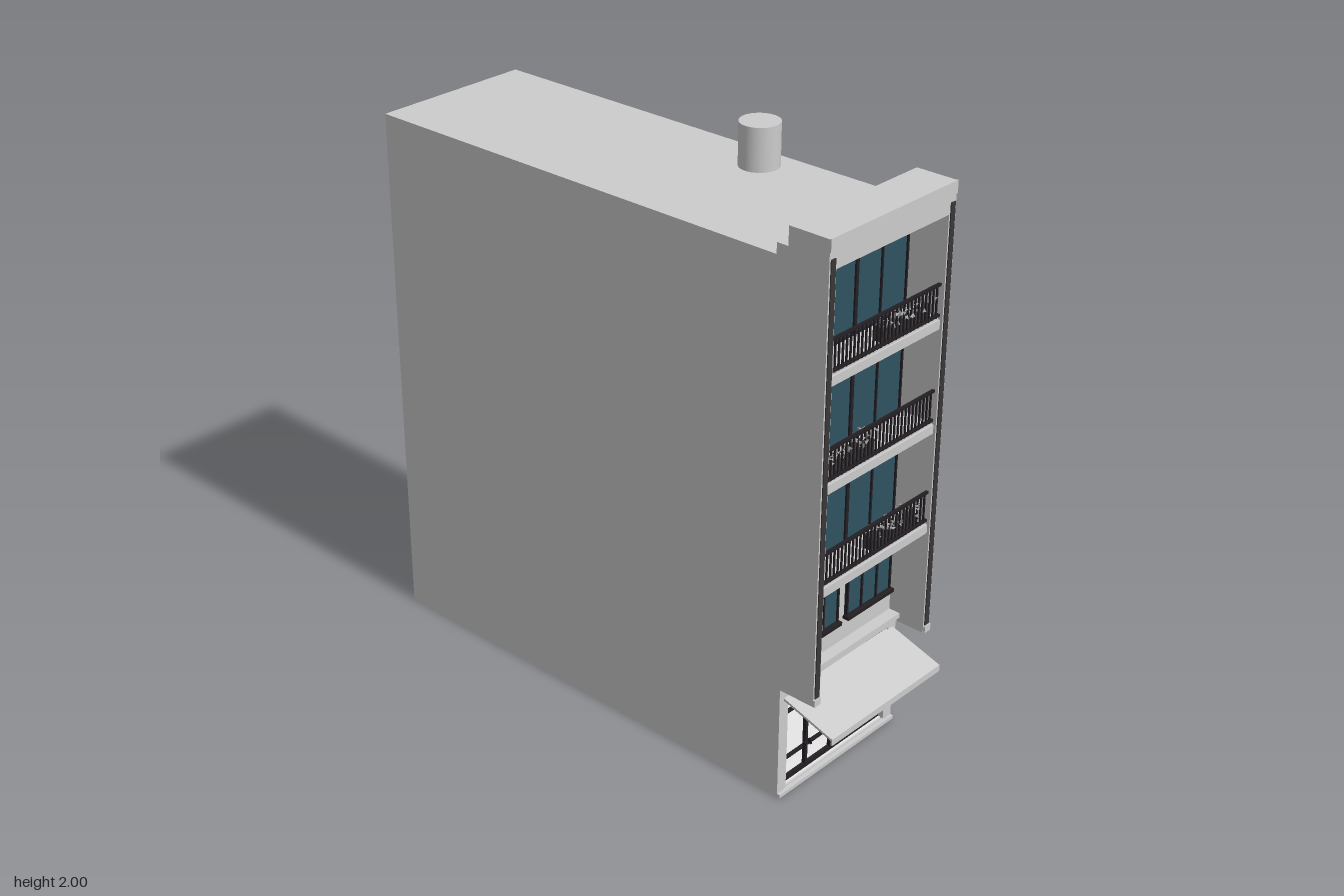
import * as THREE from 'three';

const paint = (name, color) => {
  const m = new THREE.MeshStandardMaterial({ color });
  m.name = name;
  return m;
};

export function createModel() {
  const root = new THREE.Group();
  root.name = 'townhouse';
  const wall = paint('wall grey', 0xcccccc);
  const glass = paint('teal glass', 0x2f5260);
  const dark = paint('dark metal', 0x231f23);
  const strip = paint('charcoal cladding', 0x3a3639);
  const leaf = paint('pale foliage', 0xa4a6a4);
  const pale = paint('pale floor', 0xf0f0f0);

  const add = (name, geo, mat, parent = root) => {
    const m = new THREE.Mesh(geo, mat);
    m.name = name;
    parent.add(m);
    return m;
  };
  // box given by its extents on each axis
  const box = (name, mat, [x0, x1], [y0, y1], [z0, z1], parent = root) => {
    const m = add(name, new THREE.BoxGeometry(x1 - x0, y1 - y0, z1 - z0), mat, parent);
    m.position.set((x0 + x1) / 2, (y0 + y1) / 2, (z0 + z1) / 2);
    return m;
  };
  const group = (name) => {
    const g = new THREE.Group();
    g.name = name;
    root.add(g);
    return g;
  };
  // side profile in x,y extruded between two z values
  const extrude = (name, mat, pts, z0, z1) => {
    const shape = new THREE.Shape(pts.map((p) => new THREE.Vector2(...p)));
    const geo = new THREE.ExtrudeGeometry(shape, { depth: z1 - z0, bevelEnabled: false });
    add(name, geo, mat).position.z = z0;
  };

  // Side walls with projecting upper fins
  const profile = [[-0.91, 0], [0.725, 0], [0.725, 0.39], [0.85, 0.39], [0.85, 1.87],
    [0.71, 1.87], [0.71, 1.81], [0.67, 1.81], [0.67, 1.775], [-0.91, 1.775]];
  extrude('leftSideWall', wall, profile, -0.28, -0.25);
  extrude('rightSideWall', wall, profile, 0.25, 0.28);

  // Core, leaving a room open behind the shopfront
  const inner = [-0.25, 0.25];
  box('rearCore', wall, [-0.91, 0.45], [0, 1.775], inner);
  box('upperCore', wall, [0.45, 0.72], [0.37, 1.775], inner);
  box('shopBase', wall, [0.45, 0.72], [0, 0.015], inner);
  box('shopFloor', pale, [0.45, 0.715], [0.015, 0.018], inner);
  box('entranceStep', wall, [0.72, 0.735], [0, 0.012], [-0.28, 0.28]);

  // Stepped parapet and soffit
  box('parapetStep', wall, [0.67, 0.85], [1.775, 1.81], inner);
  box('parapet', wall, [0.71, 0.85], [1.81, 1.87], inner);
  box('parapetFascia', wall, [0.85, 0.854], [1.832, 1.872], [-0.28, 0.28]);
  box('soffitBeam', wall, [0.72, 0.79], [1.765, 1.775], inner);
  for (const z of [-0.16, 0, 0.16]) {
    box('soffitLamp', dark, [0.8, 0.815], [1.768, 1.775], [z - 0.008, z + 0.008]);
  }

  // Cladding on the front of each fin
  for (const s of [-1, 1]) {
    box('finCladding', strip, [0.85, 0.853], [0.415, 1.81], [s * 0.265 - 0.01, s * 0.265 + 0.01]);
    box('finFoot', wall, [0.85, 0.856], [0.39, 0.413], [s * 0.266 - 0.014, s * 0.266 + 0.014]);
  }

  // Framed glazing on the front wall, split by mullions and rails
  const glazing = (name, y0, y1, z0, z1, mullions, rails) => {
    const g = group(name);
    box('glass', glass, [0.72, 0.726], [y0, y1], [z0, z1], g);
    const x = [0.72, 0.732];
    for (const z of [z0 + 0.003, z1 - 0.003, ...mullions]) {
      box('stile', dark, x, [y0, y1], [z - 0.003, z + 0.003], g);
    }
    for (const y of [y0 + 0.003, y1 - 0.003, ...rails]) {
      box('rail', dark, x, [y - 0.003, y + 0.003], [z0, z1], g);
    }
  };

  // Small seeded generator for the foliage
  let seed = 7;
  const rand = () => (seed = (seed * 16807) % 2147483647) / 2147483647;

  // Three balcony floors: slab, doors, railing, planter
  [[0.778, -1], [1.116, 1], [1.455, -1]].forEach(([y, side]) => {
    glazing('balconyDoors', y, y + 0.28, -0.235, 0.235, [-0.115, -0.003, 0.003, 0.115], []);
    box('balconySlab', wall, [0.72, 0.835], [y - 0.035, y], inner);
    box('slabLip', wall, [0.835, 0.842], [y - 0.035, y - 0.006], inner);
    box('ceilingLamp', dark, [0.77, 0.785], [y + 0.292, y + 0.298], [-0.008, 0.008]);

    const rail = group('balconyRailing');
    for (const h of [0.008, 0.104]) {
      box('handrail', dark, [0.83, 0.84], [y + h - 0.004, y + h + 0.004], inner, rail);
    }
    for (let i = 0; i <= 28; i++) {
      const z = -0.238 + i * 0.017;
      box('baluster', dark, [0.832, 0.837], [y, y + 0.104], [z - 0.0025, z + 0.0025], rail);
    }

    const planter = group('planter');
    const mid = side * 0.118;
    box('planterBox', strip, [0.79, 0.822], [y, y + 0.045], [mid - 0.11, mid + 0.11], planter);
    for (let i = 0; i < 70; i++) {
      const m = add('leaf', new THREE.TetrahedronGeometry(0.008), leaf, planter);
      m.position.set(0.8 + rand() * 0.04, y + 0.045 + rand() * 0.04, mid + (rand() - 0.5) * 0.225);
      m.rotation.set(rand() * 6, rand() * 6, 0);
    }
  });

  // First-floor windows with sills and the ledge above
  for (const s of [-1, 1]) {
    const a = s * 0.127;
    glazing('firstFloorWindow', 0.505, 0.7, a - 0.107, a + 0.107, [a - 0.036, a + 0.036], [0.655]);
    box('windowSill', dark, [0.72, 0.742], [0.498, 0.51], [a - 0.112, a + 0.112]);
  }
  box('ledge', wall, [0.72, 0.78], [0.722, 0.743], inner);
  box('ledgeTrim', dark, [0.72, 0.785], [0.708, 0.714], inner);

  // Cornice over the shop
  [[0.76, 0.405, 0.422], [0.75, 0.388, 0.405], [0.735, 0.37, 0.388]].forEach(([x, y0, y1]) =>
    box('cornice', wall, [0.72, x], [y0, y1], inner));

  // Sloping awning with a small front lip
  extrude('awning', wall, [[0.72, 0.345], [0.905, 0.285], [0.905, 0.27], [0.91, 0.27],
    [0.91, 0.292], [0.72, 0.353]], -0.265, 0.26);

  // Shopfront frame and door handles
  const shop = group('shopfront');
  const fx = [0.695, 0.707];
  for (const s of [-1, 1]) {
    box('jamb', wall, [0.45, 0.725], [0.015, 0.37], [s * 0.245 - 0.005, s * 0.245 + 0.005], shop);
  }
  for (const z of [-0.237, -0.122, 0, 0.122, 0.237]) {
    const w = Math.abs(z) > 0.2 ? 0.003 : 0.0055;
    box('post', dark, fx, [0.015, 0.37], [z - w, z + w], shop);
  }
  for (const [y, h] of [[0.025, 0.007], [0.1, 0.003], [0.268, 0.003], [0.366, 0.004]]) {
    box('crossbar', dark, fx, [y - h, y + h], [-0.24, 0.24], shop);
  }
  for (const z of [-0.135, -0.109, 0.109, 0.135]) {
    box('doorHandle', dark, [0.705, 0.716], [0.1, 0.118], [z - 0.003, z + 0.003], shop);
  }

  // Roof tank
  add('roofTank', new THREE.CylinderGeometry(0.061, 0.061, 0.133, 40), wall).position.set(0.368, 1.9335, 0);

  return root;
}
